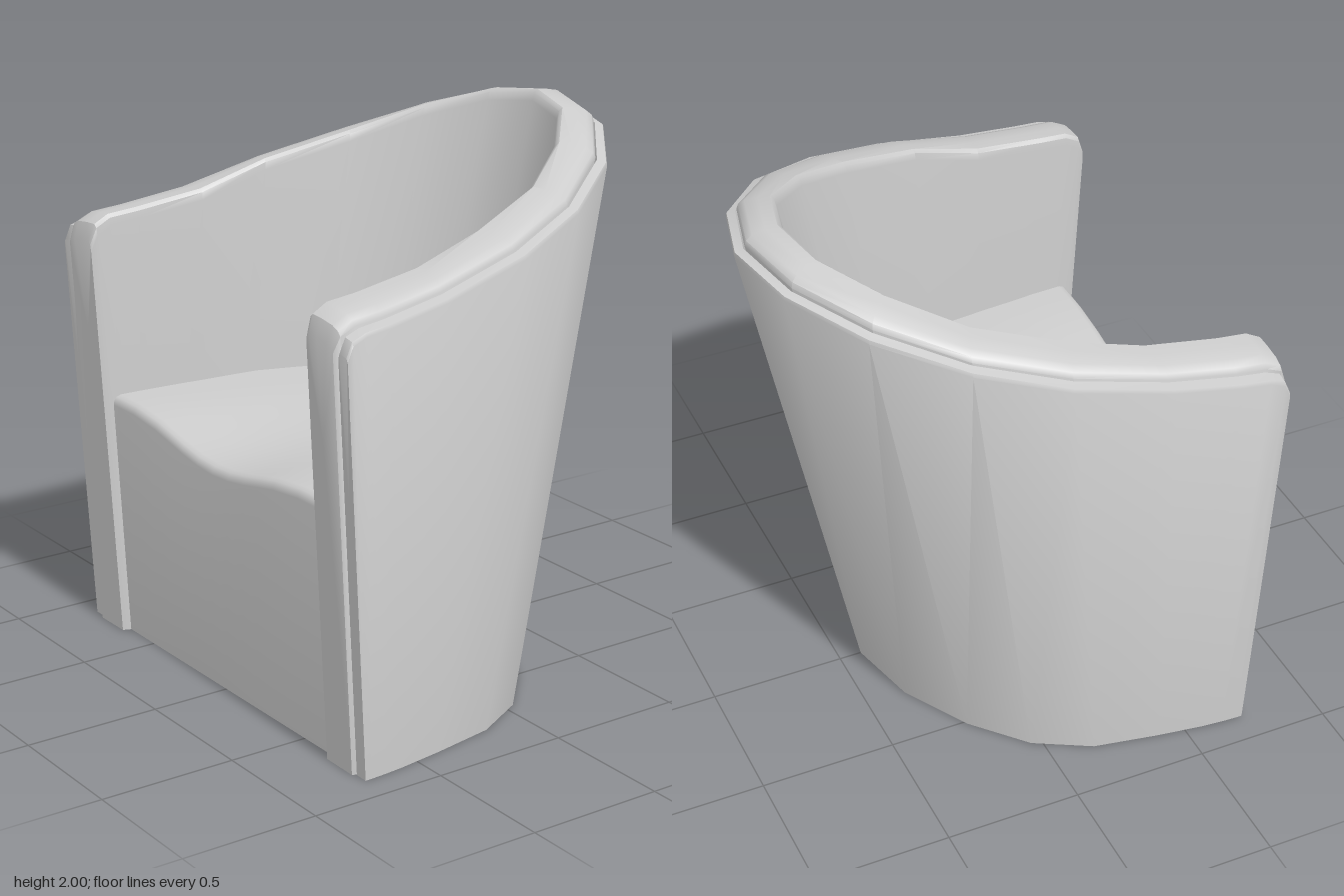
import * as THREE from 'three';
import { toCreasedNormals } from 'three/addons/utils/BufferGeometryUtils.js';

const upholstery = new THREE.MeshStandardMaterial({ color: 0xcccccc });
upholstery.name = 'pale grey upholstery';

// Half of the U-shaped rim, back centre to arm front:
// outer x, outer z, inner x, inner z, outer height, crest height, end rounding
const HALF = [
  [0, -0.82, 0, -0.65, 1.92, 2.0, 0],
  [0.27, -0.75, 0.2, -0.6, 1.895, 1.975, 0],
  [0.52, -0.56, 0.38, -0.44, 1.83, 1.905, 0],
  [0.71, -0.28, 0.53, -0.21, 1.74, 1.81, 0],
  [0.82, 0.03, 0.63, 0.1, 1.655, 1.725, 0],
  [0.865, 0.38, 0.65, 0.36, 1.575, 1.645, 0],
  [0.89, 0.62, 0.67, 0.62, 1.54, 1.61, 0],
  [0.897, 0.72, 0.675, 0.72, 1.53, 1.6, 0],
  [0.9, 0.775, 0.677, 0.775, 1.51, 1.57, 0],
  [0.9, 0.797, 0.677, 0.797, 1.46, 1.51, 0.12],
];
const mirrored = (half) => [
  ...half.slice(1).reverse().map(([x, z, ix, ...rest]) => [-x, z, -ix, ...rest]),
  ...half,
];
const STATIONS = mirrored(HALF);

// Point on the leaning shell: f runs from outer (0) to inner (1) face
function shellPoint(s, f, y, push = 0) {
  const x = THREE.MathUtils.lerp(s[0], s[2], f);
  const z = THREE.MathUtils.lerp(s[1], s[3], f);
  const drop = THREE.MathUtils.lerp(s[4], s[5], f) - y;
  const lean = THREE.MathUtils.clamp(0.085 - 0.19 * z, -0.05, 0.21);
  return [x * (1 - 0.01 * drop), y, z + lean * drop + (z > 0.7 ? push : 0)];
}

// Skin a list of equal-length cross-sections; closed sections get end caps
function skin(sections, closed) {
  const n = sections[0].length;
  const pos = sections.flat(2);
  const idx = [];
  for (let i = 0; i < sections.length - 1; i++) {
    for (let j = 0; j < (closed ? n : n - 1); j++) {
      const k = (j + 1) % n;
      const a = i * n + j, b = i * n + k, c = a + n, d = b + n;
      idx.push(a, b, c, b, d, c);
    }
  }
  if (closed) {
    [0, sections.length - 1].forEach((i) => {
      const ring = sections[i];
      const centre = pos.length / 3;
      pos.push(...[0, 1, 2].map((k) => ring.reduce((sum, p) => sum + p[k], 0) / n));
      for (let j = 0; j < n; j++) {
        const a = i * n + j, b = i * n + ((j + 1) % n);
        idx.push(centre, ...(i === 0 ? [b, a] : [a, b]));
      }
    });
  }
  return finish(pos, idx);
}

function finish(pos, idx) {
  const geo = new THREE.BufferGeometry();
  geo.setAttribute('position', new THREE.Float32BufferAttribute(pos, 3));
  geo.setIndex(idx);
  return toCreasedNormals(geo, 0.7);
}

// Thin outer panel with a softened top edge
function panelSection(s) {
  const y = s[4];
  return [[0, 0], [0, y], [0.03, y + 0.013], [0.2, y + 0.02], [0.235, y], [0.235, 0]]
    .map(([f, h]) => shellPoint(s, f, h));
}

// Thick inner pad whose top rises towards the inside
function padSection(s) {
  const [yo, yc, round] = s.slice(4);
  const d = yc - yo;
  return [
    [0, 0], [0, yo + 0.35 * d], [0.07, yo + 0.6 * d], [0.25, yo + 0.82 * d],
    [0.6, yo + 0.95 * d], [0.9, yc], [0.98, yc - 0.012], [1, yc - 0.04], [1, 0],
  ].map(([f, h]) => {
    const g = 0.5 + (f - 0.5) * (1 - round);
    return shellPoint(s, 0.235 + 0.765 * g, h, 0.013);
  });
}

// Seat column from the back wall, over the dished top, down the front
function seatColumn([x, zBack]) {
  const dip = 0.0375 * (1 + Math.cos(Math.PI * Math.min(1, Math.abs(x) / 0.55)));
  const zFront = 0.715;
  const top = [0, 0.25, 0.5, 0.75, 0.9, 1].map((t) =>
    [x, 0.925 - dip * t * t, THREE.MathUtils.lerp(zBack, zFront, t)]);
  const y = 0.925 - dip;
  return [...top, [x, y - 0.006, 0.732], [x, y - 0.018, 0.742], [x, y - 0.035, 0.745], [x, 0, 0.705]];
}

export function createModel() {
  const group = new THREE.Group();
  group.name = 'tubChair';
  const add = (name, geometry) => {
    const mesh = new THREE.Mesh(geometry, upholstery);
    mesh.name = name;
    group.add(mesh);
  };

  add('outerPanel', skin(STATIONS.map(panelSection), true));
  add('innerPad', skin(STATIONS.map(padSection), true));

  // Seat edges run slightly into the pad
  const seatHalf = [
    [0, -0.45], [0.1, -0.43], [0.2, -0.41], [0.29, -0.355], [0.38, -0.3],
    [0.53, -0.13], [0.64, 0.09], [0.7, 0.5],
  ];
  add('seat', skin(mirrored(seatHalf.map(([x, z]) => [x, z, 0])).map(seatColumn), false));

  // Flat underside
  const rim = STATIONS.slice(1, -1).map((s) => shellPoint(s, 0.1, 0));
  const pos = [0, 0, 0.3, ...rim.flat()];
  const idx = [];
  rim.forEach((_, i) => idx.push(0, i + 1, ((i + 1) % rim.length) + 1));
  add('underside', finish(pos, idx));

  return group;
}
